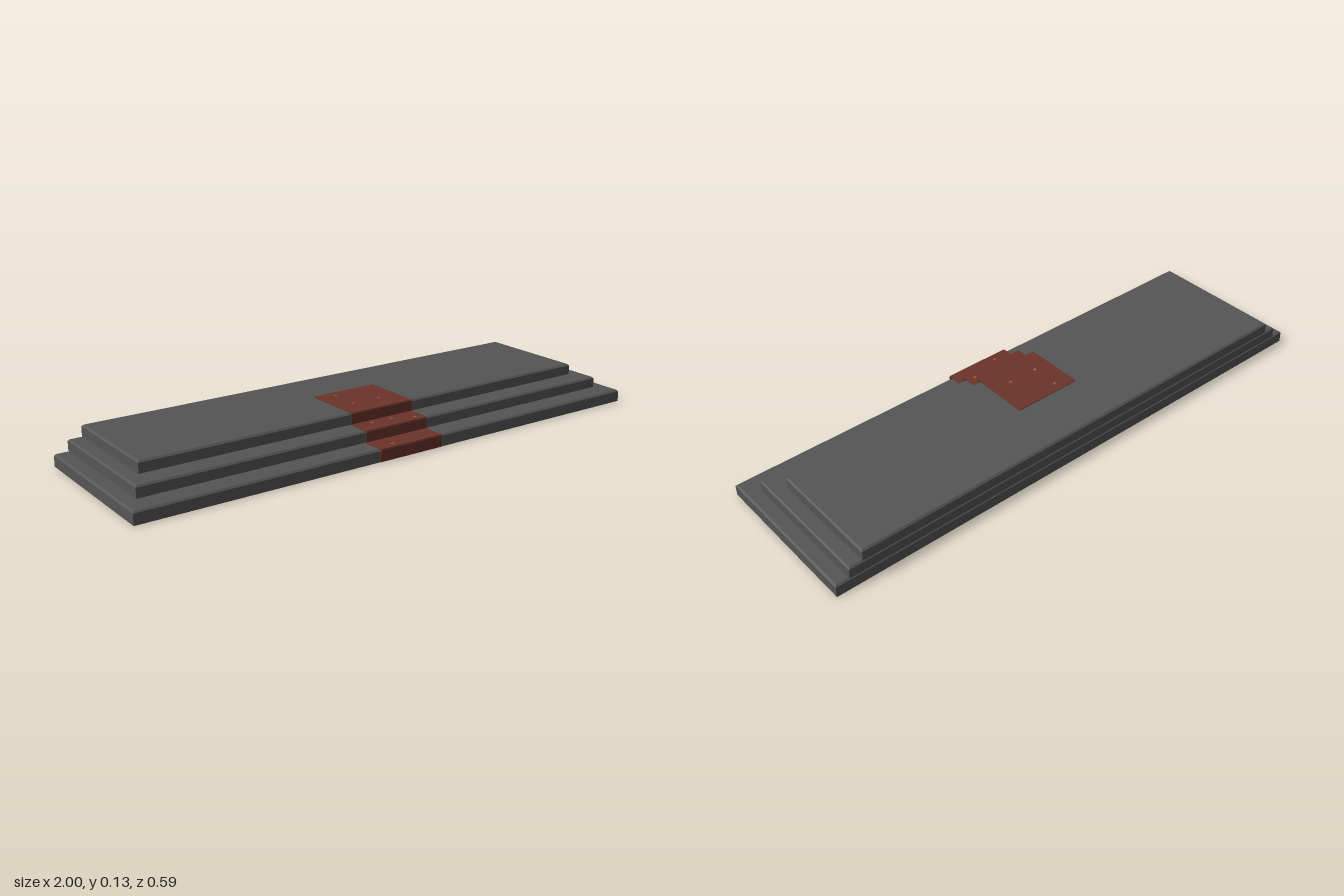
import * as THREE from 'three';

const BACK = -0.295;
const CHAMFER = 0.006;

// Slab with its upper edges chamfered on all four sides
function chamferedSlab(halfWidth, y0, y1, front) {
  const depth = front - BACK;
  const box = new THREE.BoxGeometry(halfWidth * 2, y1 - y0, depth, 1, 2, 1);
  const p = box.attributes.position;
  const top = (y1 - y0) / 2;
  for (let i = 0; i < p.count; i++) {
    const y = p.getY(i);
    if (y > top - 1e-5) {
      p.setX(i, Math.sign(p.getX(i)) * (halfWidth - CHAMFER));
      p.setZ(i, Math.sign(p.getZ(i)) * (depth / 2 - CHAMFER));
    } else if (Math.abs(y) < 1e-5) {
      p.setY(i, top - CHAMFER);
    }
  }
  const geometry = box.toNonIndexed();
  geometry.computeVertexNormals();
  geometry.translate(0, (y0 + y1) / 2, (front + BACK) / 2);
  return geometry;
}

export function createModel() {
  const model = new THREE.Group();
  model.name = 'steppedPlatform';

  const stone = new THREE.MeshStandardMaterial({ color: 0x555555 });
  stone.name = 'dark grey stone';
  const red = new THREE.MeshStandardMaterial({ color: 0x6b332a });
  red.name = 'carpet red';
  const gold = new THREE.MeshStandardMaterial({ color: 0xa8622c });
  gold.name = 'carpet gold';

  function add(name, geometry, material) {
    const mesh = new THREE.Mesh(geometry, material);
    mesh.name = name;
    model.add(mesh);
    return mesh;
  }

  function plate(name, width, y0, y1, z0, z1, material, x = 0) {
    const mesh = add(name, new THREE.BoxGeometry(width, y1 - y0, z1 - z0), material);
    mesh.position.set(x, (y0 + y1) / 2, (z0 + z1) / 2);
  }

  // Three steps sharing a flush back, each with its carpet riser and tread
  const steps = [
    { half: 1.0, y0: 0, y1: 0.044, front: 0.288, treadEnd: 0.213 },
    { half: 0.95, y0: 0.044, y1: 0.084, front: 0.206, treadEnd: 0.131 },
    { half: 0.9, y0: 0.084, y1: 0.124, front: 0.123, treadEnd: -0.095 },
  ];
  const carpetWidth = 0.254;
  steps.forEach(({ half, y0, y1, front, treadEnd }, i) => {
    const n = i + 1;
    add('step' + n, chamferedSlab(half, y0, y1, front), stone);
    plate('carpetRiser' + n, carpetWidth, y0 + 0.003, y1 - 0.001, front + 0.005, front + 0.008, red);
    plate('carpetTread' + n, carpetWidth, y1 + 0.0005, y1 + 0.003, treadEnd, front + 0.008, red);
  });

  // Tiny gold flecks woven into the treads: x, z, tread surface height
  const flecks = [
    [-0.06, -0.06, 0.127], [-0.06, 0.045, 0.127], [0.05, 0.045, 0.127],
    [-0.06, 0.155, 0.087], [0.02, 0.155, 0.087], [0.095, 0.19, 0.087],
    [-0.06, 0.27, 0.047],
  ];
  for (const [x, z, y] of flecks) {
    plate('carpetFleck', 0.012, y, y + 0.0004, z - 0.004, z + 0.004, gold, x);
  }

  return model;
}
